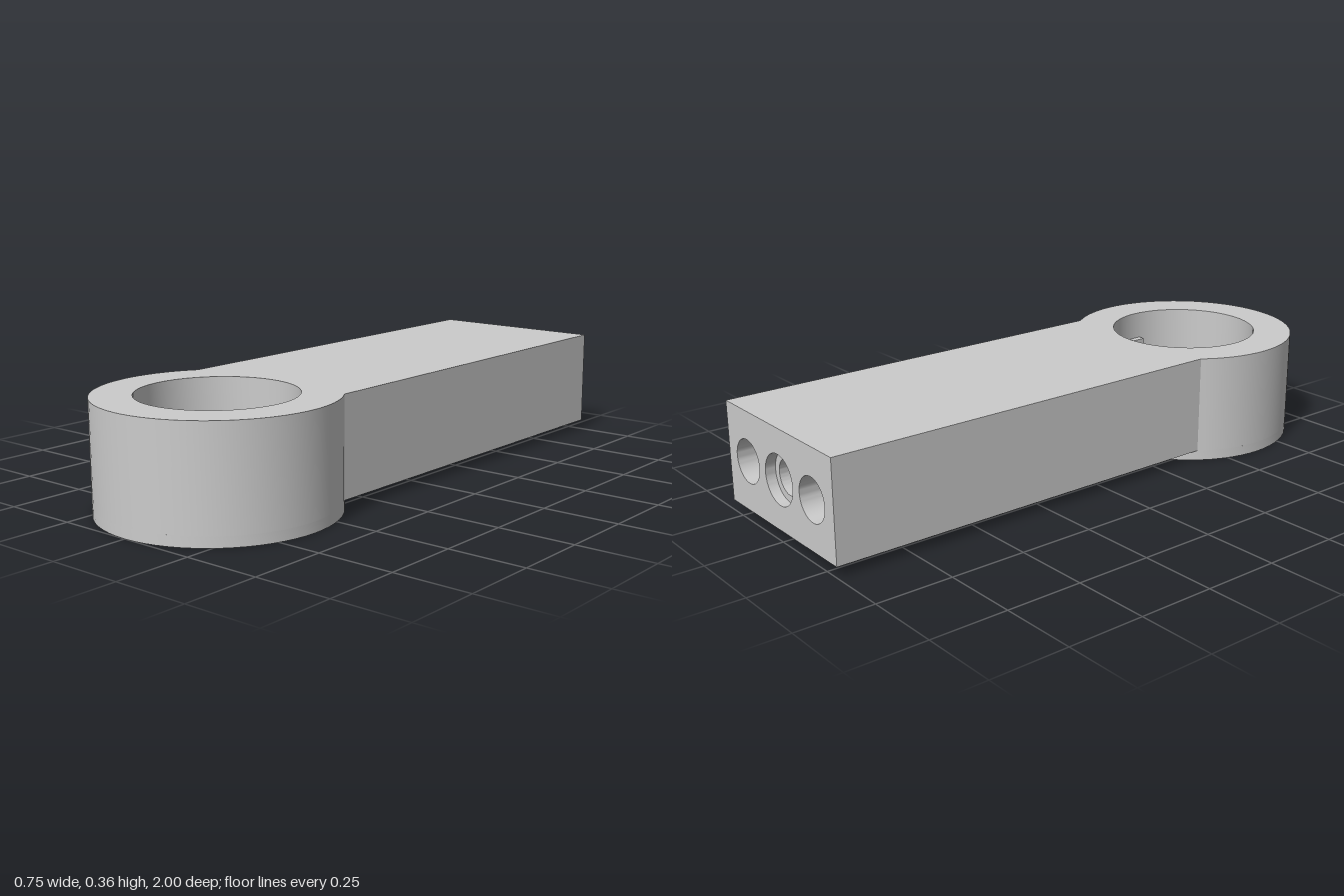
import * as THREE from 'three';
import { toCreasedNormals, mergeGeometries } from 'three/addons/utils/BufferGeometryUtils.js';

const TOP = 0.358, STEP = 0.034;            // top of the body, underside of the arm
const RING_Z = 0.624, RING_R = 0.376, POCKET_R = 0.248;
const ARM_X = 0.305, BACK = -1;
const SEG = 32;                             // gives 64-sided circles

const material = new THREE.MeshStandardMaterial({ color: 0xcccccc });

function mesh(name, geometry) {
  const m = new THREE.Mesh(toCreasedNormals(geometry, 0.5), material);
  m.name = name;
  return m;
}

const extrude = (shape, depth) =>
  new THREE.ExtrudeGeometry(shape, { depth, bevelEnabled: false, curveSegments: SEG });

function circle(r, x = 0, y = 0) {
  const s = new THREE.Shape();
  s.absarc(x, y, r, 0, Math.PI * 2, false);
  return s;
}

// Equilateral triangle pointing along +y
function triangle(r) {
  const pts = [0, 1, 2].map(i => {
    const a = Math.PI / 2 + i * Math.PI * 2 / 3;
    return new THREE.Vector2(r * Math.cos(a), r * Math.sin(a));
  });
  return new THREE.Shape(pts);
}

// Remove the flat cap lying on the plane axis = value
function dropCap(geometry, axis, value) {
  const p = geometry.attributes.position.array, kept = [];
  const k = 'xyz'.indexOf(axis);
  for (let i = 0; i < p.length; i += 9) {
    const onPlane = [0, 3, 6].every(j => Math.abs(p[i + j + k] - value) < 1e-4);
    if (!onPlane) kept.push(...p.slice(i, i + 9));
  }
  const out = new THREE.BufferGeometry();
  out.setAttribute('position', new THREE.Float32BufferAttribute(kept, 3));
  return out;
}

// Blind bore sunk along +z; profile runs from the floor centre to the mouth
function bore(name, x, y, profile) {
  const pts = profile.map(([r, d]) => new THREE.Vector2(r, d));
  const m = mesh(name, new THREE.LatheGeometry(pts, SEG * 2).rotateX(Math.PI / 2));
  m.position.set(x, y, BACK);
  return m;
}

export function createModel() {
  const model = new THREE.Group();
  model.name = 'armWithRing';

  // Arm and ring in one outline, with the round pocket cut through
  const a = Math.acos(ARM_X / RING_R);
  const plan = new THREE.Shape();
  plan.moveTo(-ARM_X, -BACK);
  plan.lineTo(-ARM_X, -RING_Z + RING_R * Math.sin(a));
  plan.absarc(0, -RING_Z, RING_R, Math.PI - a, a, false);
  plan.lineTo(ARM_X, -BACK);
  plan.closePath();
  plan.holes.push(circle(POCKET_R, 0, -RING_Z));
  const body = extrude(plan, TOP - STEP).rotateX(-Math.PI / 2).translate(0, STEP, 0);
  model.add(mesh('body', dropCap(body, 'z', BACK)));

  // End face with three bores, the middle one stepped
  const midY = (TOP + STEP) / 2, h = (TOP - STEP) / 2, boreX = 0.187;
  const end = new THREE.Shape([[-1, -1], [1, -1], [1, 1], [-1, 1]]
    .map(([x, y]) => new THREE.Vector2(x * ARM_X, y * h)));
  end.holes.push(circle(0.07, -boreX), circle(0.08), circle(0.07, boreX));
  const endFace = mesh('endFace', new THREE.ShapeGeometry(end, SEG).rotateY(Math.PI));
  endFace.position.set(0, midY, BACK);
  model.add(endFace);
  model.add(bore('middleBore', 0, midY,
    [[0, 0.3], [0.057, 0.3], [0.057, 0.033], [0.08, 0.033], [0.08, 0]]));

  for (const side of [-1, 1]) {
    const name = side > 0 ? 'left' : 'right';
    model.add(bore(name + 'Bore', side * boreX, midY, [[0, 0.1], [0.07, 0.1], [0.07, 0]]));

    // Small key on the pocket wall
    const key = mesh(name + 'Key', new THREE.BoxGeometry(0.028, 0.23, 0.05));
    key.position.set(side * 0.238, STEP + 0.115, RING_Z - 0.004);
    model.add(key);
  }

  // Base disc closing the pocket
  const base = new THREE.Group();
  base.name = 'base';
  base.position.z = RING_Z;
  const disc = extrude(circle(RING_R), STEP).rotateX(-Math.PI / 2);
  base.add(mesh('disc', dropCap(disc, 'y', 0)));

  // Underside with a triangular groove
  const face = circle(RING_R);
  face.holes.push(triangle(0.227));
  const under = mergeGeometries([
    new THREE.ShapeGeometry(face, SEG), new THREE.ShapeGeometry(triangle(0.158)),
  ]);
  base.add(mesh('underside', under.rotateX(Math.PI / 2)));

  const band = triangle(0.227);
  band.holes.push(triangle(0.158));
  // Mirroring turns the extrusion inside out, so it reads as a recess
  const groove = dropCap(extrude(band, 0.008).scale(1, 1, -1), 'z', 0);
  base.add(mesh('groove', groove.rotateX(Math.PI / 2)));
  model.add(base);

  return model;
}
